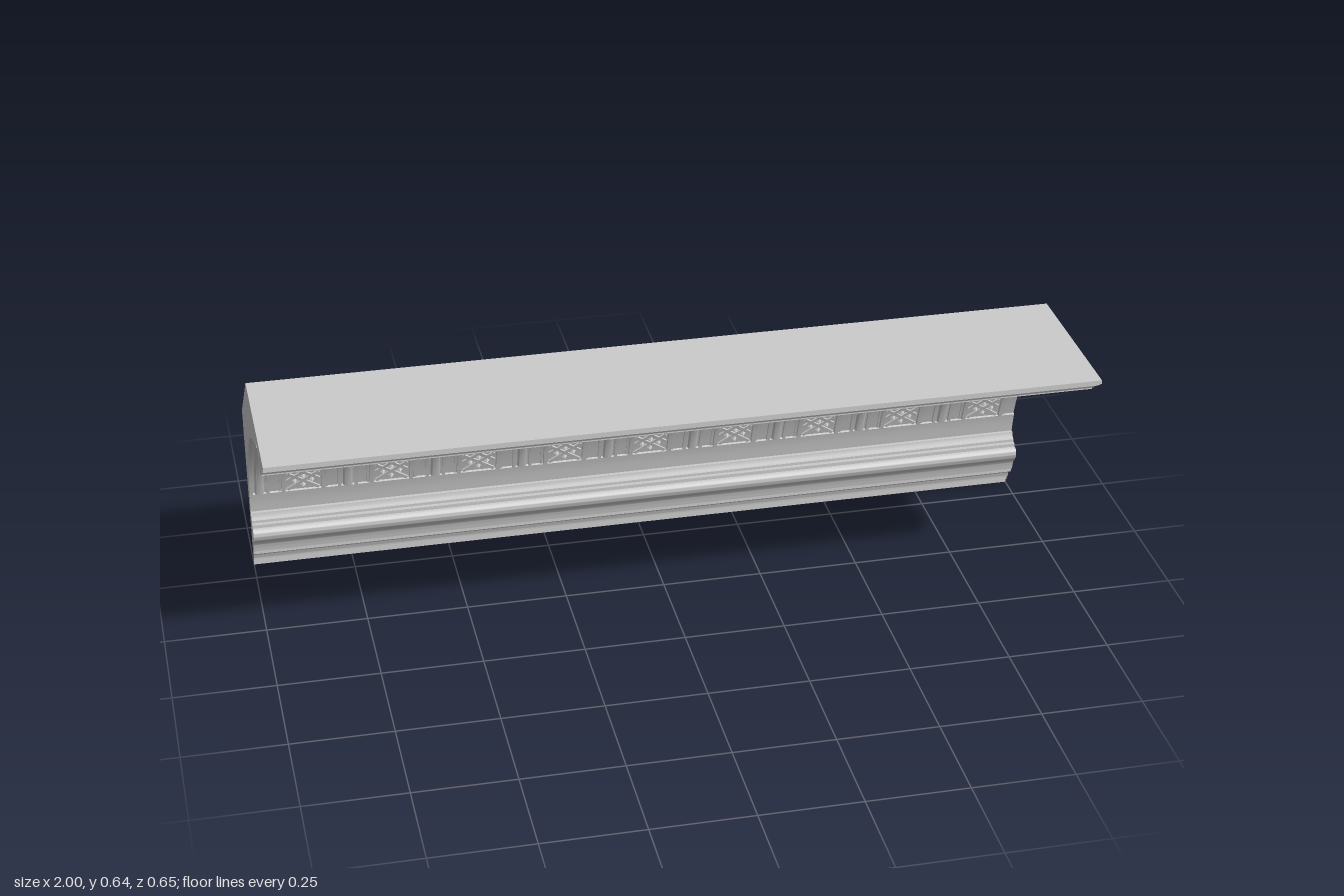
import * as THREE from 'three';
import { mergeGeometries, toCreasedNormals } from 'three/addons/utils/BufferGeometryUtils.js';

const material = new THREE.MeshStandardMaterial({ color: 0xcccccc });

// Cove line from the ceiling edge down to the wall edge, as (z, y)
const cove = new THREE.SplineCurve([
  [0.137, 0.59], [0.07, 0.567], [0, 0.54], [-0.1, 0.484], [-0.155, 0.437], [-0.2, 0.383],
  [-0.25, 0.3], [-0.28, 0.222], [-0.291, 0.17],
].map(([z, y]) => new THREE.Vector2(z, y)));
const total = cove.getLength();
const ornament = total - 0.056; // the carved zone stops above a plain band

// Point on the cove at arc length s, raised by h towards the room
function covePoint(s, h) {
  const u = THREE.MathUtils.clamp(s / total, 0, 1);
  const p = cove.getPointAt(u), t = cove.getTangentAt(u);
  return [p.x - t.y * h, p.y + t.x * h];
}
// Depth of the sunk ground behind the carving
const depth = (s) => 0.006 + 0.01 * Math.pow(1 - s / ornament, 2);

// Wrap a flat geometry (x across, y raised, z along the cove) onto the cove
function bend(geometry) {
  const pos = geometry.attributes.position;
  for (let i = 0; i < pos.count; i++) {
    const [z, y] = covePoint(pos.getZ(i), pos.getY(i));
    pos.setXYZ(i, pos.getX(i), y, z);
  }
  return toCreasedNormals(geometry, 0.6);
}

// Long strip running down the cove, its back set into the sunk ground
function strip(x, width, top) {
  const g = new THREE.BoxGeometry(width, 1, ornament, 1, 1, 28);
  const p = g.attributes.position;
  for (let i = 0; i < p.count; i++) {
    const s = p.getZ(i) + ornament / 2;
    p.setXYZ(i, p.getX(i) + x, p.getY(i) > 0 ? top : -depth(s) - 0.003, s);
  }
  return bend(g);
}

// Half-round reed running down the cove
function reed(x, radius, height) {
  const g = new THREE.CylinderGeometry(radius, radius, ornament, 10, 24);
  g.rotateX(Math.PI / 2);
  const p = g.attributes.position;
  for (let i = 0; i < p.count; i++) {
    const s = p.getZ(i) + ornament / 2;
    p.setXYZ(i, p.getX(i) + x, p.getY(i) > 0.0001 ? p.getY(i) / radius * height - 0.004 : -depth(s) - 0.002, s);
  }
  return bend(g);
}

// Crossed lattice with a small diamond boss in each opening
function lattice() {
  const parts = [], cells = 9, step = ornament / cells, w = 0.086;
  const angle = Math.atan2(w, step);
  for (let i = 0; i < cells; i++) {
    const s = (i + 0.5) * step;
    for (const side of [-1, 1]) {
      for (const shift of [0, step / 2]) {
        if (shift && i === cells - 1) continue;
        const g = new THREE.BoxGeometry(0.009, 0.016, Math.hypot(w, step) - 0.009, 1, 1, 4);
        g.rotateY(side * angle).translate(0, -0.01, s + shift);
        parts.push(bend(g));
      }
    }
    for (const [x, ds] of [[0, step / 4], [-w / 4, 0], [w / 4, 0], [0, -step / 4]]) {
      const boss = new THREE.ConeGeometry(0.008, 0.012, 4);
      boss.translate(x, -depth(s) + 0.005, s + ds);
      parts.push(bend(boss));
    }
  }
  return mergeGeometries(parts);
}

// Full section of the moulding, as (z, y)
function section() {
  const pts = [[-0.325, 0], [-0.325, 0.443], [-0.092, 0.641], [0.325, 0.641], [0.325, 0.631],
    [0.314, 0.631], [0.314, 0.623], [0.304, 0.623], [0.304, 0.616]];
  const curve = (list) => new THREE.SplineCurve(list.map(([a, b]) => new THREE.Vector2(a, b)))
    .getPoints(list.length * 4).forEach((p) => pts.push([p.x, p.y]));
  // Ceiling mouldings
  curve([[0.303, 0.616], [0.289, 0.611], [0.281, 0.604], [0.276, 0.596]]);
  pts.push([0.262, 0.596], [0.262, 0.585]);
  curve([[0.25, 0.585], [0.238, 0.579], [0.224, 0.566], [0.205, 0.56], [0.193, 0.565], [0.188, 0.577]]);
  pts.push([0.181, 0.577], [0.181, 0.588], [0.172, 0.588], [0.171, 0.594], [0.164, 0.598],
    [0.157, 0.599], [0.157, 0.605], [0.137, 0.604]);
  // Sunk cove, then the plain band below it
  for (let i = 0; i <= 36; i++) {
    const s = ornament * i / 36;
    pts.push(covePoint(s, -depth(s)));
  }
  for (let i = 0; i <= 4; i++) pts.push(covePoint(ornament + (total - ornament) * i / 4, 0));
  // Wall mouldings
  pts.push([-0.282, 0.17], [-0.281, 0.162], [-0.277, 0.155], [-0.271, 0.154], [-0.271, 0.147],
    [-0.26, 0.147], [-0.26, 0.138]);
  curve([[-0.253, 0.138], [-0.245, 0.132], [-0.244, 0.118], [-0.251, 0.105], [-0.263, 0.09], [-0.269, 0.066]]);
  pts.push([-0.277, 0.066], [-0.277, 0.053]);
  curve([[-0.279, 0.052], [-0.29, 0.046], [-0.297, 0.036], [-0.299, 0.025]]);
  pts.push([-0.306, 0.025], [-0.306, 0.013], [-0.315, 0.013], [-0.315, 0]);
  return new THREE.Shape(pts.map(([z, y]) => new THREE.Vector2(-z, y)));
}

export function createModel() {
  const group = new THREE.Group();
  const add = (name, geometry, x = 0) => {
    const mesh = new THREE.Mesh(geometry, material);
    mesh.name = name;
    mesh.position.x = x;
    group.add(mesh);
  };

  const body = new THREE.ExtrudeGeometry(section(), { depth: 2, bevelEnabled: false });
  body.translate(0, 0, -1).rotateY(Math.PI / 2);
  add('mouldingBody', toCreasedNormals(body, 0.5));

  // Repeating carved panels and reeded ribs
  const weave = lattice();
  const frame = mergeGeometries([-1, 1].flatMap((k) => [strip(k * 0.05, 0.01, 0.002), strip(k * 0.059, 0.006, -0.003)]));
  const rib = mergeGeometries([strip(-0.021, 0.008, 0), strip(0.021, 0.008, 0), reed(0, 0.012, 0.006)]);
  for (let i = 0; i < 9; i++) {
    const x = -0.865 + i * 0.222;
    add('latticePanel', weave, x);
    add('panelFrame', frame, x);
    add('reededRib', rib, x - 0.11);
  }
  return group;
}
